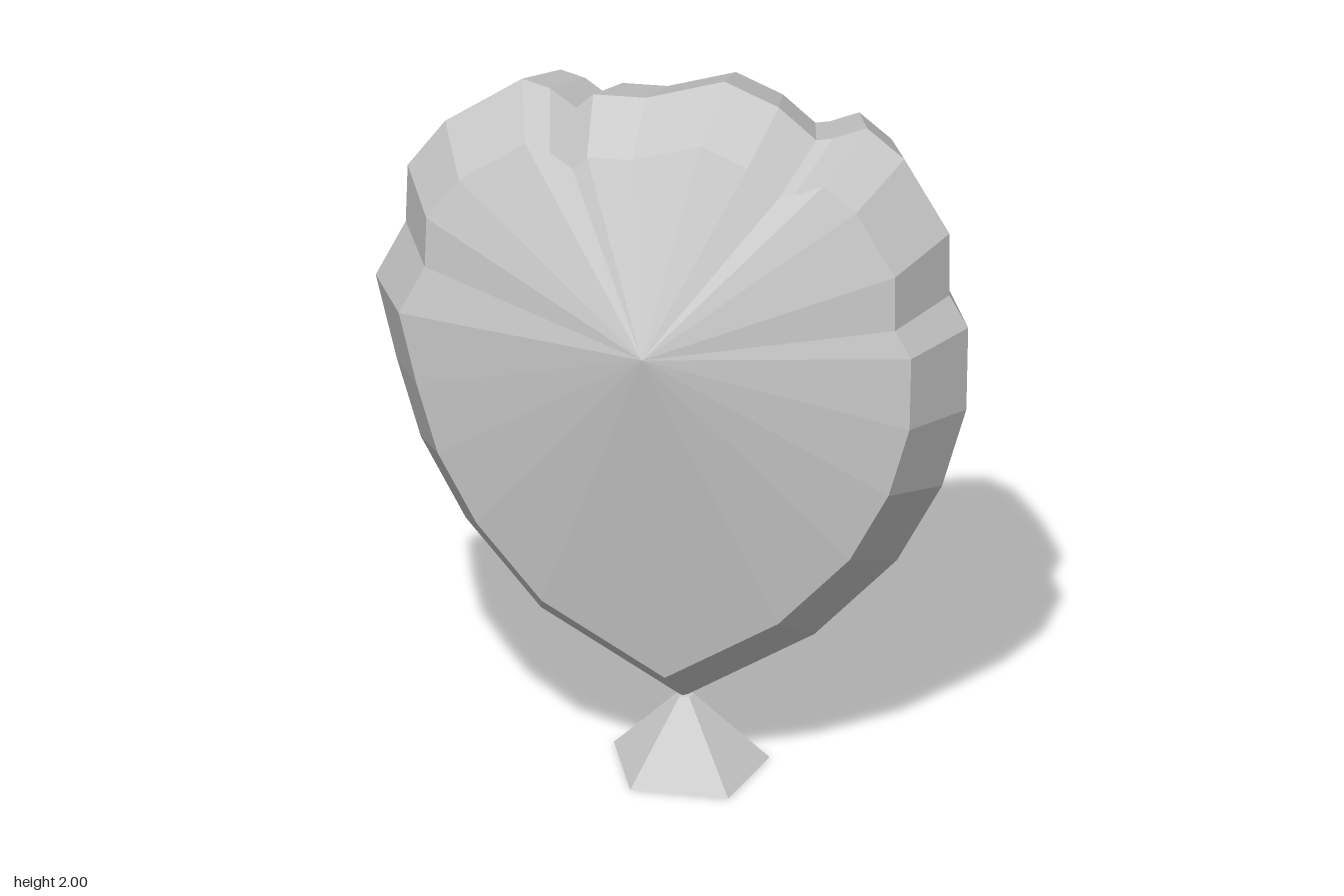
import * as THREE from 'three';

// Seam outline, counter-clockwise from the bottom tip
const OUTLINE = [
  [0.03, 0.19], [0.38, 0.41], [0.6, 0.65], [0.72, 0.88], [0.785, 1.11],
  [0.79, 1.35], [0.74, 1.44], [0.74, 1.62], [0.62, 1.825], [0.52, 1.905],
  [0.43, 1.865], [0.385, 1.855], [0.285, 1.94], [0.14, 2.0], [-0.07, 1.93],
  [-0.21, 1.925], [-0.255, 1.88], [-0.325, 1.93], [-0.4, 1.95], [-0.605, 1.805],
  [-0.705, 1.665], [-0.71, 1.5], [-0.79, 1.335], [-0.735, 1.1], [-0.67, 0.875],
  [-0.55, 0.65], [-0.35, 0.41],
];
const CENTRE = [0.015, 1.39];

// Corners of the knot's flared foot: x, z
const FOOT = [[-0.07, 0.19], [0.19, 0.185], [0.245, -0.07], [0.04, -0.205], [-0.17, -0.07]];

function meshFrom(name, triangles, material) {
  const geometry = new THREE.BufferGeometry();
  geometry.setAttribute('position', new THREE.Float32BufferAttribute(triangles.flat(2), 3));
  geometry.computeVertexNormals();
  const mesh = new THREE.Mesh(geometry, material);
  mesh.name = name;
  return mesh;
}

// One half of the balloon: bevelled rim, then a fan up to the centre point
function halfShell(side) {
  const rim = [], face = [];
  const outer = OUTLINE.map(([x, y]) => [x, y, 0]);
  const inner = OUTLINE.map(([x, y]) => [
    CENTRE[0] + (x - CENTRE[0]) * 0.865,
    CENTRE[1] + (y - CENTRE[1]) * 0.865,
    0.218 * side,
  ]);
  const apex = [...CENTRE, 0.44 * side];
  const add = (list, a, b, c) => list.push(side > 0 ? [a, b, c] : [a, c, b]);
  outer.forEach((p, i) => {
    const j = (i + 1) % outer.length;
    add(rim, inner[i], p, outer[j]);
    add(rim, inner[i], outer[j], inner[j]);
    add(face, apex, inner[i], inner[j]);
  });
  return { rim, face };
}

export function createModel() {
  const group = new THREE.Group();
  group.name = 'balloon';
  const foil = new THREE.MeshStandardMaterial({ color: 0xcccccc, flatShading: true });
  foil.name = 'pale grey foil';

  // Front and back halves
  for (const [label, side] of [['front', 1], ['back', -1]]) {
    const { rim, face } = halfShell(side);
    group.add(meshFrom(label + 'Rim', rim, foil), meshFrom(label + 'Face', face, foil));
  }

  // Tied knot: five-sided skirt with closed ends
  const low = FOOT.map(([x, z]) => [x, 0, z]);
  const high = FOOT.map(([x, z]) => [0.035 + (x - 0.04) * 0.1, 0.198, z * 0.1]);
  const knot = [];
  low.forEach((p, i) => {
    const j = (i + 1) % low.length;
    knot.push([p, low[j], high[j]], [p, high[j], high[i]]);
    knot.push([[0.035, 0, 0], low[j], p], [[0.035, 0.198, 0], high[i], high[j]]);
  });
  group.add(meshFrom('knot', knot, foil));

  return group;
}
